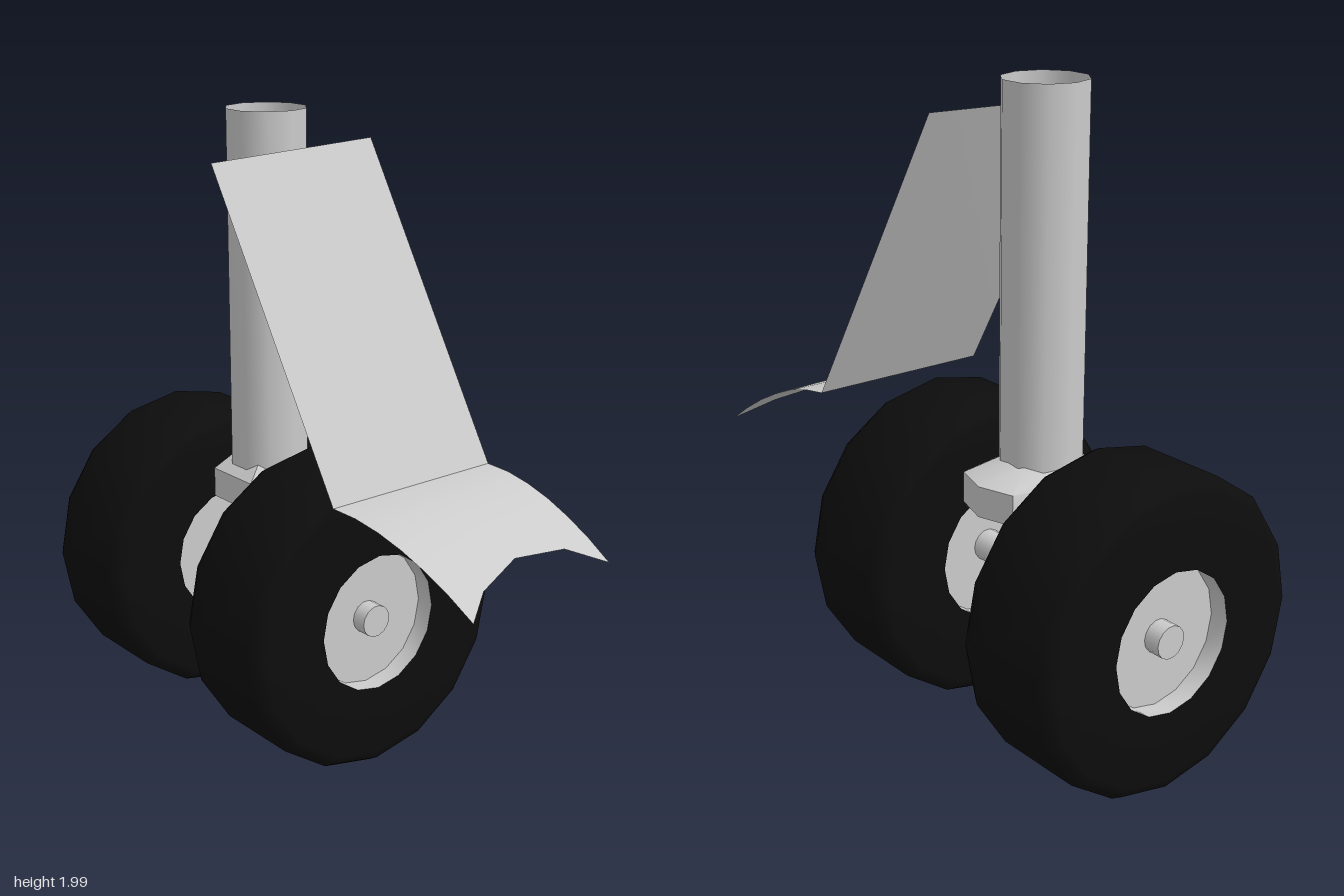
import * as THREE from 'three';
import { toCreasedNormals } from 'three/addons/utils/BufferGeometryUtils.js';

const grey = new THREE.MeshStandardMaterial({ color: 0xcccccc, side: THREE.DoubleSide });
const rubber = new THREE.MeshStandardMaterial({ color: 0x0d0d0d });

const LEG_X = -0.31, LEG_Z = -0.01, AXLE_Y = 0.495;

function part(name, geometry, material = grey) {
  const mesh = new THREE.Mesh(geometry, material);
  mesh.name = name;
  return mesh;
}

// Upright open tube on the leg axis
function tube(name, radius, y0, y1) {
  const geo = new THREE.CylinderGeometry(radius, radius, y1 - y0, 10, 1, true, Math.PI / 2);
  geo.translate(LEG_X, (y0 + y1) / 2, LEG_Z);
  return part(name, geo);
}

// Skin joining rings that have equal point counts
function loft(rings) {
  const n = rings[0].length, index = [];
  for (let r = 0; r < rings.length - 1; r++) {
    for (let i = 0; i < n; i++) {
      const a = r * n + i, b = r * n + (i + 1) % n;
      index.push(a, a + n, b, b, a + n, b + n);
    }
  }
  const geo = new THREE.BufferGeometry();
  geo.setAttribute('position', new THREE.Float32BufferAttribute(rings.flat(2), 3));
  geo.setIndex(index);
  geo.computeVertexNormals();
  return toCreasedNormals(geo, 0.7);
}

// Collar at the foot of the strut, drawn out to the rear
function collar() {
  const outline = [[0.155, 0], [0.1, 0.14], [-0.1, 0.14], [-0.155, 0], [-0.115, -0.21], [0, -0.245], [0.115, -0.21]];
  const big = y => outline.map(([x, z]) => [LEG_X + x, y, z]);
  const round = (radius, y) => outline.map(([x, z]) => {
    const a = Math.atan2(z, x);
    return [LEG_X + radius * Math.cos(a), y, LEG_Z + radius * Math.sin(a)];
  });
  return part('collar', loft([round(0.093, 0.75), big(0.75), big(0.845), round(0.122, 0.89)]));
}

function lathe(points, crease) {
  const geo = new THREE.LatheGeometry(points.map(p => new THREE.Vector2(...p)), 16);
  return toCreasedNormals(geo.rotateZ(Math.PI / 2), crease);
}

function wheel(name, x) {
  const group = new THREE.Group();
  group.name = name;
  const side = [[0.22, 0.182], [0.44, 0.182], [0.466, 0.176], [0.485, 0.145]];
  const profile = [...side.map(([r, y]) => [r, -y]), ...side.slice().reverse()];
  group.add(part('tyre', lathe(profile, 0.9), rubber));
  // Recessed hub discs, one on each face
  for (const s of [-1, 1]) {
    group.add(part('hub', lathe([[0.22, s * 0.182], [0.22, s * 0.12], [0, s * 0.12]], 0.6)));
  }
  group.position.set(x, AXLE_Y, 0);
  group.scale.z = 0.98;
  return group;
}

function axle(name, x0, x1) {
  const geo = new THREE.CylinderGeometry(0.051, 0.051, x1 - x0, 14);
  geo.rotateZ(Math.PI / 2).translate((x0 + x1) / 2, AXLE_Y, 0);
  return part(name, geo);
}

// Sheet whose vertices follow rule(u, t): u front to back, t inner to outer
function sheet(name, us, rows, rule) {
  const geo = new THREE.PlaneGeometry(1, 1, us.length - 1, rows);
  const pos = geo.attributes.position;
  for (let i = 0; i < pos.count; i++) {
    const col = i % us.length, row = Math.floor(i / us.length);
    pos.setXYZ(i, ...rule(us[col], row / rows, col));
  }
  geo.computeVertexNormals();
  return part(name, geo);
}

const mix = THREE.MathUtils.lerp;
const mix3 = (a, b, t) => a.map((v, i) => mix(v, b[i], t));

function door() {
  const group = new THREE.Group();
  group.name = 'door';
  const top = [[-0.108, 1.885, 0.335], [-0.13, 1.905, -0.275]];
  const fold = [[0.365, 0.96, 0.267], [0.36, 0.965, -0.342]];
  const tip = [[0.873, 0.765, 0.195], [0.805, 0.765, -0.41]];
  const along = (edge, u) => mix3(edge[0], edge[1], u);

  group.add(sheet('upperDoor', [0, 1], 1, (u, t) => mix3(along(top, u), along(fold, u), t)));

  // Lower flap bends downward and has a notched outer edge
  const reach = [1, 0.877, 0.78, 0.837, 1];
  group.add(sheet('lowerDoor', [0, 0.19, 0.5, 0.81, 1], 6, (u, t, col) => {
    const s = t * reach[col];
    const a = along(fold, u), b = along(tip, u);
    const p = mix3(a, b, s);
    p[1] = mix(a[1], b[1], s ** 1.8);
    return p;
  }));
  return group;
}

export function createModel() {
  const model = new THREE.Group();
  model.name = 'landingGear';
  model.add(
    tube('strut', 0.128, 0.75, 2),
    collar(),
    tube('piston', 0.095, 0.44, 0.78),
    axle('rightAxle', -0.87, -0.345),
    axle('leftAxle', -0.29, 0.245),
    wheel('rightWheel', -0.696),
    wheel('leftWheel', 0.075),
    door(),
  );
  return model;
}
